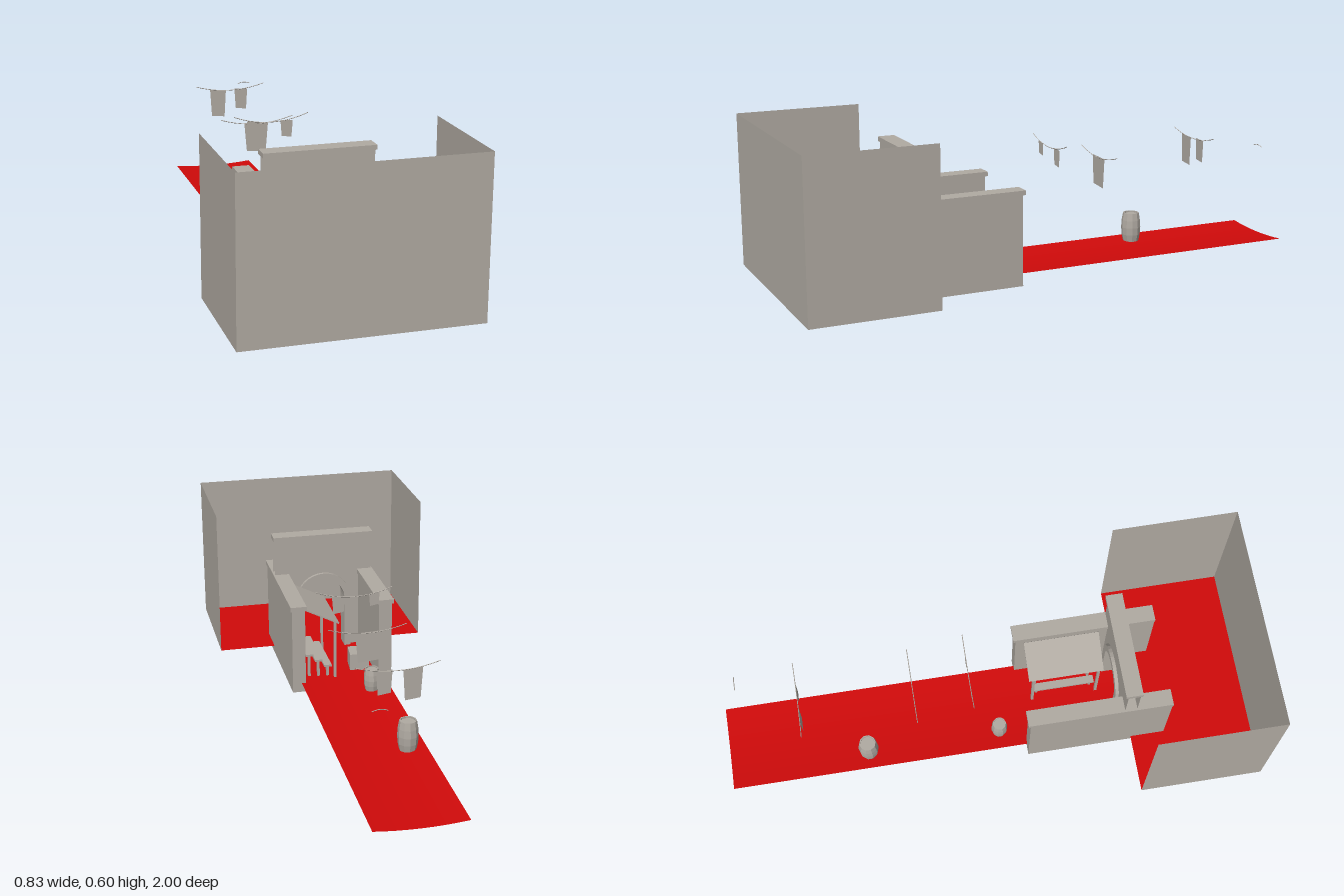
import * as THREE from 'three';

export function createModel() {
  const root = new THREE.Group();
  const stone = new THREE.MeshStandardMaterial({ color: 0xb0aaa2, side: THREE.DoubleSide, flatShading: true });
  stone.name = 'warm grey';
  const red = new THREE.MeshStandardMaterial({ color: 0xd00a0a, side: THREE.DoubleSide });
  red.name = 'red';

  const add = (name, geo, mat = stone, parent = root) => {
    const m = new THREE.Mesh(geo, mat);
    m.name = name;
    parent.add(m);
    return m;
  };
  // Box given by its limits; faces listed in skip are left open (0..5 = +x -x +y -y +z -z)
  const box = (name, [x0, x1], [y0, y1], [z0, z1], skip = []) => {
    const g = new THREE.BoxGeometry(x1 - x0, y1 - y0, z1 - z0);
    g.translate((x0 + x1) / 2, (y0 + y1) / 2, (z0 + z1) / 2);
    g.setIndex(Array.from(g.index.array).filter((_, i) => !skip.includes(Math.floor(i / 6))));
    return add(name, g);
  };

  // Courtyard: three tall sheets around a red floor, open to the back and top
  const front = add('courtyardFrontWall', new THREE.PlaneGeometry(0.83, 0.572));
  front.position.set(0, 0.314, 1);
  for (const s of [-1, 1]) {
    const side = add(s > 0 ? 'courtyardLeftWall' : 'courtyardRightWall', new THREE.PlaneGeometry(0.465, 0.572));
    side.rotation.y = s * Math.PI / 2;
    side.position.set(s * 0.415, 0.314, 0.7675);
  }
  const floor = add('courtyardFloor', new THREE.PlaneGeometry(0.83, 0.465).rotateX(-Math.PI / 2), red);
  floor.position.set(0, 0.028, 0.7675);

  // Long path, slightly dished across its width
  const path = new THREE.PlaneGeometry(0.325, 1.535, 8, 1).rotateX(-Math.PI / 2);
  const pp = path.attributes.position;
  for (let i = 0; i < pp.count; i++) pp.setY(i, 0.028 + 0.009 * (pp.getX(i) / 0.1625) ** 2);
  path.computeVertexNormals();
  add('path', path, red).position.set(-0.002, 0, -0.2325);

  // Passage walls with coping, hollow underneath
  for (const s of [-1, 1]) {
    const span = (a, b) => (s > 0 ? [a, b] : [-b, -a]);
    box('passageWall', span(0.144, 0.195), [0, 0.34], [0.135, 0.665], [2, 3]);
    box('passageCoping', span(0.139, 0.201), [0.338, 0.355], [0.126, 0.665]);
  }

  // Gate wall: two faces pierced by an arch, with coping above
  const gate = new THREE.Shape();
  gate.moveTo(-0.195, 0.028).lineTo(-0.09, 0.028).lineTo(-0.09, 0.24);
  gate.absarc(0, 0.24, 0.09, Math.PI, 0, true);
  gate.lineTo(0.09, 0.028).lineTo(0.195, 0.028).lineTo(0.195, 0.5).lineTo(-0.195, 0.5);
  for (const z of [0.485, 0.53]) add('gateWallFace', new THREE.ShapeGeometry(gate, 12)).position.z = z;
  box('gateCoping', [-0.2, 0.2], [0.497, 0.514], [0.474, 0.536]);

  // Arch surround
  const arch = new THREE.Shape();
  arch.moveTo(-0.11, 0.02).lineTo(-0.11, 0.24);
  arch.absarc(0, 0.24, 0.11, Math.PI, 0, true);
  arch.lineTo(0.11, 0.02).lineTo(0.085, 0.02).lineTo(0.085, 0.24);
  arch.absarc(0, 0.24, 0.085, 0, Math.PI, false);
  arch.lineTo(-0.085, 0.02);
  add('archSurround', new THREE.ExtrudeGeometry(arch, { depth: 0.07, bevelEnabled: false, curveSegments: 8 })).position.z = 0.472;

  // Market stall: sloping awning, posts and stepped shelves
  const awning = add('awning', new THREE.BoxGeometry(0.148, 0.005, 0.285));
  awning.rotation.z = Math.atan2(0.065, 0.13);
  awning.position.set(0.072, 0.292, 0.308);
  for (const z of [0.185, 0.435]) box('awningPost', [0.013, 0.023], [0.022, 0.265], [z - 0.005, z + 0.005], [3]);
  for (let i = 0; i < 3; i++) {
    const x = 0.03 + i * 0.036, y = 0.07 + i * 0.025;
    box('stallShelf', [x, x + 0.03], [y, y + 0.008], [0.19, 0.43]);
    for (const z of [0.2, 0.41]) box('shelfLeg', [x + 0.01, x + 0.02], [0.028, y], [z, z + 0.01]);
  }

  // Crate standing slightly askew
  const crate = box('crate', [-0.037, 0.037], [0.024, 0.095], [-0.042, 0.042], [3]);
  crate.position.set(-0.093, 0, 0.265);
  crate.rotation.y = -0.1;

  // Barrels with bulging staves and a recessed lid
  for (const [x, z, r, h] of [[-0.098, -0.47, 0.038, 0.115], [-0.093, 0.037, 0.031, 0.09]]) {
    const profile = [[0.8, 0], [0.95, 0.25], [1, 0.5], [0.95, 0.75], [0.82, 1], [0.7, 1], [0.7, 0.95], [0, 0.95]]
      .map(([a, b]) => new THREE.Vector2(a * r, b * h));
    add('barrel', new THREE.LatheGeometry(profile, 10)).position.set(x, 0.028, z);
  }

  // Sagging ropes with hanging pennants: [left, right, top, bottom]
  const rope = (z, x0, x1, yEnd, sag, flags) => {
    const g = new THREE.Group();
    g.name = 'garland';
    g.position.z = z;
    root.add(g);
    const mid = (x0 + x1) / 2;
    const curve = new THREE.QuadraticBezierCurve3(
      new THREE.Vector3(x0, yEnd, 0), new THREE.Vector3(mid, yEnd - 2 * sag, 0), new THREE.Vector3(x1, yEnd, 0));
    add('rope', new THREE.TubeGeometry(curve, 10, 0.0015, 4), stone, g);
    for (const [a, b, top, bottom] of flags) {
      const t = (b - a) * 0.1;
      const s = new THREE.Shape();
      s.moveTo(a, top).lineTo(a + t, bottom + 0.006).lineTo(b - t, bottom).lineTo(b, top - 0.004);
      add('pennant', new THREE.ShapeGeometry(s), stone, g);
    }
  };
  rope(-0.065, -0.143, 0.143, 0.485, 0.028, [[-0.095, -0.055, 0.467, 0.415], [0.035, 0.083, 0.463, 0.395]]);
  rope(-0.272, -0.143, 0.143, 0.423, 0.024, [[-0.05, 0.045, 0.405, 0.287]]);
  rope(-0.688, -0.143, 0.143, 0.46, 0.022, [[-0.085, -0.018, 0.444, 0.328], [0.018, 0.073, 0.444, 0.355]]);
  rope(-0.91, 0.09, 0.142, 0.41, -0.006, []);

  return root;
}
